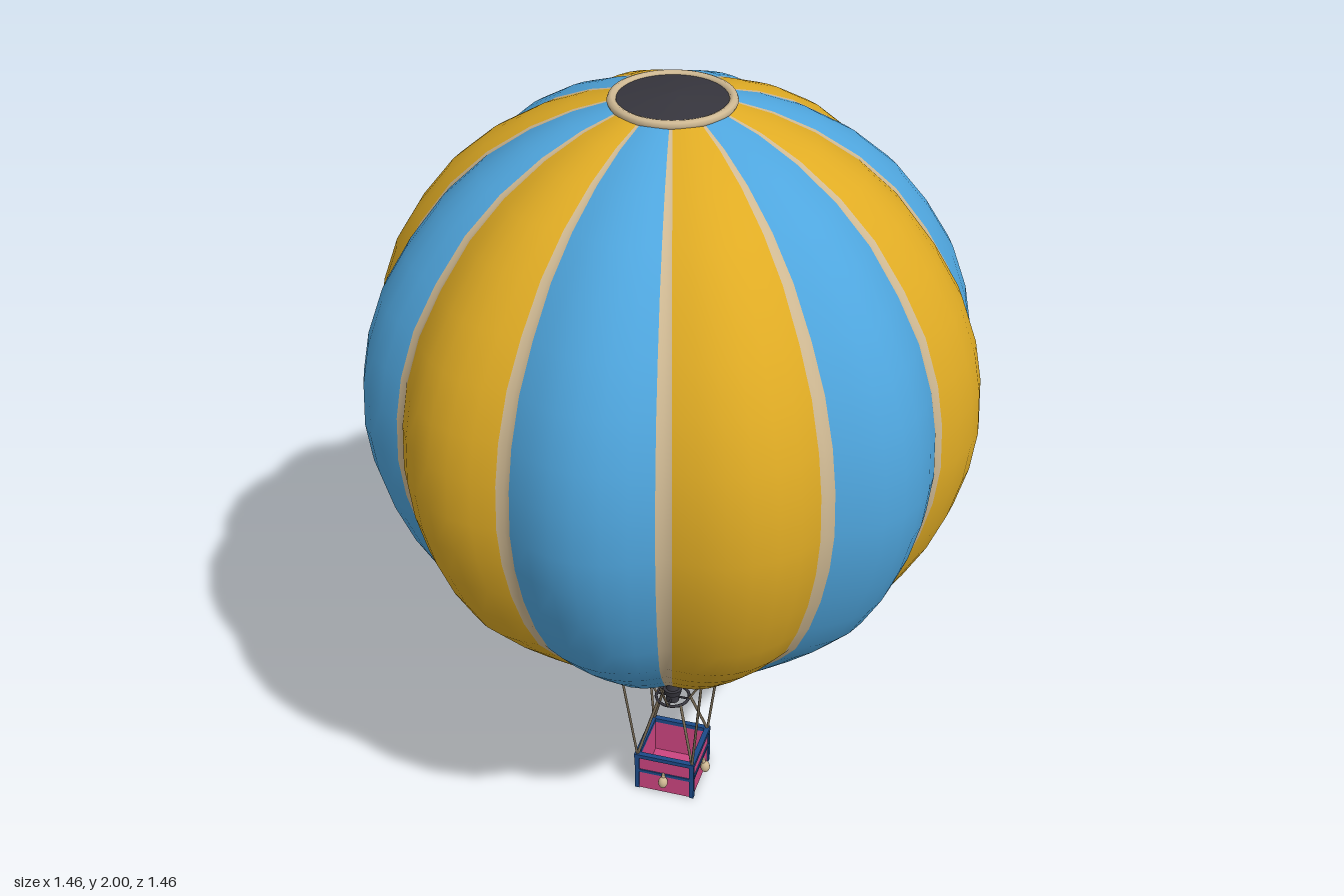
import * as THREE from 'three';

const mat = (name, color, side = THREE.FrontSide) => {
  const m = new THREE.MeshStandardMaterial({ color, side });
  m.name = name;
  return m;
};

export function createModel() {
  const model = new THREE.Group();
  model.name = 'hotAirBalloon';
  const blue = mat('sky blue', 0x4fa6de);
  const gold = mat('gold', 0xdfab24);
  const tan = mat('tan', 0xcfb993);
  const dark = mat('charcoal', 0x36353d);
  const navy = mat('navy', 0x1c4a88);
  const pink = mat('magenta', 0xcc4580);
  const rope = mat('rope brown', 0x776a55);

  const add = (name, geometry, material, x = 0, y = 0, z = 0, parent = model) => {
    const mesh = new THREE.Mesh(geometry, material);
    mesh.name = name;
    mesh.position.set(x, y, z);
    parent.add(mesh);
    return mesh;
  };
  const ring = (name, radius, tube, y, material, sides = 48) => {
    const mesh = add(name, new THREE.TorusGeometry(radius, tube, 8, sides), material, 0, y, 0);
    mesh.rotation.x = Math.PI / 2;
    return mesh;
  };
  const lathe = (points, sides) =>
    new THREE.LatheGeometry(points.map(([r, y]) => new THREE.Vector2(r, y)), sides);

  // Envelope: twelve bulging gores with narrow seam tapes, one smooth skin
  const profile = [
    [0.165, 0.475], [0.255, 0.532], [0.36, 0.605], [0.445, 0.685], [0.525, 0.765],
    [0.595, 0.845], [0.648, 0.94], [0.69, 1.045], [0.718, 1.15], [0.73, 1.25],
    [0.724, 1.36], [0.705, 1.46], [0.665, 1.57], [0.604, 1.67], [0.525, 1.77],
    [0.435, 1.848], [0.33, 1.912], [0.23, 1.955], [0.128, 1.984],
  ];
  const gores = 12, half = 1.45, panelSteps = 6;
  const columns = []; // angle in degrees and material index of the strip after it
  for (let g = 0; g < gores; g++) {
    const start = g * 30 - 15;
    columns.push([start - half, 2], [start, 2]);
    for (let s = 0; s < panelSteps; s++)
      columns.push([start + half + ((30 - 2 * half) * s) / panelSteps, g % 2]);
  }
  const positions = [], index = [], skin = new THREE.BufferGeometry();
  const rows = profile.length, count = columns.length;
  for (const [degrees] of columns) {
    const a = THREE.MathUtils.degToRad(degrees);
    const bulge = 0.94 + 0.06 * Math.abs(Math.cos(6 * a));
    for (const [r, y] of profile)
      positions.push(Math.sin(a) * r * bulge, y, Math.cos(a) * r * bulge);
  }
  columns.forEach(([, material], c) => {
    skin.addGroup(index.length, (rows - 1) * 6, material);
    for (let j = 0; j < rows - 1; j++) {
      const p = c * rows + j, q = ((c + 1) % count) * rows + j;
      index.push(p, q, q + 1, p, q + 1, p + 1);
    }
  });
  skin.setAttribute('position', new THREE.Float32BufferAttribute(positions, 3));
  skin.setIndex(index);
  skin.computeVertexNormals();
  add('envelope', skin, [blue, gold, tan]);

  // Dark inside, facing inwards, seen through the mouth
  const inner = profile.map(([r, y]) => [r * 0.925, y - 0.002]).reverse();
  add('innerLining', lathe(inner, 48), dark);

  // Crown vent and mouth hoop
  add('crownVent', lathe([[0.132, 1.986], [0.06, 1.997], [0, 2]], 48), dark);
  ring('crownRing', 0.133, 0.011, 1.984, tan);
  ring('mouthHoop', 0.162, 0.007, 0.476, navy);

  // Burner with its hoop and flame
  add('burnerBase', new THREE.CylinderGeometry(0.018, 0.018, 0.026, 12), dark, 0, 0.279, 0);
  add('burnerCollar', new THREE.CylinderGeometry(0.026, 0.022, 0.018, 12), dark, 0, 0.298, 0);
  add('burnerNozzle', new THREE.CylinderGeometry(0.014, 0.018, 0.018, 12), dark, 0, 0.315, 0);
  ring('burnerHoop', 0.044, 0.004, 0.278, dark, 20);
  add('flame', lathe([[0, 0.318], [0.012, 0.322], [0.021, 0.345], [0.024, 0.372],
    [0.018, 0.405], [0.008, 0.435], [0, 0.462]], 10), tan);

  // Ropes
  const line = (name, from, to, radius, material) => {
    const a = new THREE.Vector3(...from), b = new THREE.Vector3(...to);
    const dir = b.clone().sub(a);
    const mesh = add(name, new THREE.CylinderGeometry(radius, radius, dir.length(), 6), material);
    mesh.position.copy(a).add(b).multiplyScalar(0.5);
    mesh.quaternion.setFromUnitVectors(new THREE.Vector3(0, 1, 0), dir.normalize());
  };
  for (const sx of [-1, 1]) for (const sz of [-1, 1]) {
    const corner = [sx * 0.076, 0.115, sz * 0.076];
    line('basketRope', [sx * 0.114, 0.476, sz * 0.114], corner, 0.0035, rope);
    line('burnerStrut', [sx * 0.031, 0.278, sz * 0.031], corner, 0.004, rope);
  }
  for (let k = 0; k < 4; k++) {
    const s = Math.sin(k * Math.PI / 2), c = Math.cos(k * Math.PI / 2);
    line('burnerRope', [s * 0.16, 0.476, c * 0.16], [s * 0.044, 0.278, c * 0.044], 0.003, rope);
    line('burnerArm', [s * 0.015, 0.278, c * 0.015], [s * 0.044, 0.278, c * 0.044], 0.003, dark);
  }

  // Basket: floor, then four identical sides with trim and a sandbag
  const basket = new THREE.Group();
  basket.name = 'basket';
  model.add(basket);
  add('basketFloor', new THREE.BoxGeometry(0.156, 0.01, 0.156), pink, 0, 0.005, 0, basket);
  for (let k = 0; k < 4; k++) {
    const side = new THREE.Group();
    side.name = 'basketSide';
    side.rotation.y = k * Math.PI / 2;
    basket.add(side);
    add('wall', new THREE.BoxGeometry(0.156, 0.115, 0.008), pink, 0, 0.0575, 0.074, side);
    add('topRail', new THREE.BoxGeometry(0.166, 0.012, 0.014), navy, 0, 0.114, 0.076, side);
    add('band', new THREE.BoxGeometry(0.16, 0.009, 0.006), navy, 0, 0.062, 0.078, side);
    add('cornerPost', new THREE.BoxGeometry(0.012, 0.116, 0.012), navy, 0.076, 0.059, 0.076, side);
    const bag = add('sandbag', new THREE.SphereGeometry(0.013, 12, 8), tan, 0, 0.048, 0.092, side);
    bag.scale.y = 1.35;
    add('sandbagTie', new THREE.CylinderGeometry(0.004, 0.006, 0.012, 8), tan, 0, 0.068, 0.088, side);
  }
  return model;
}
